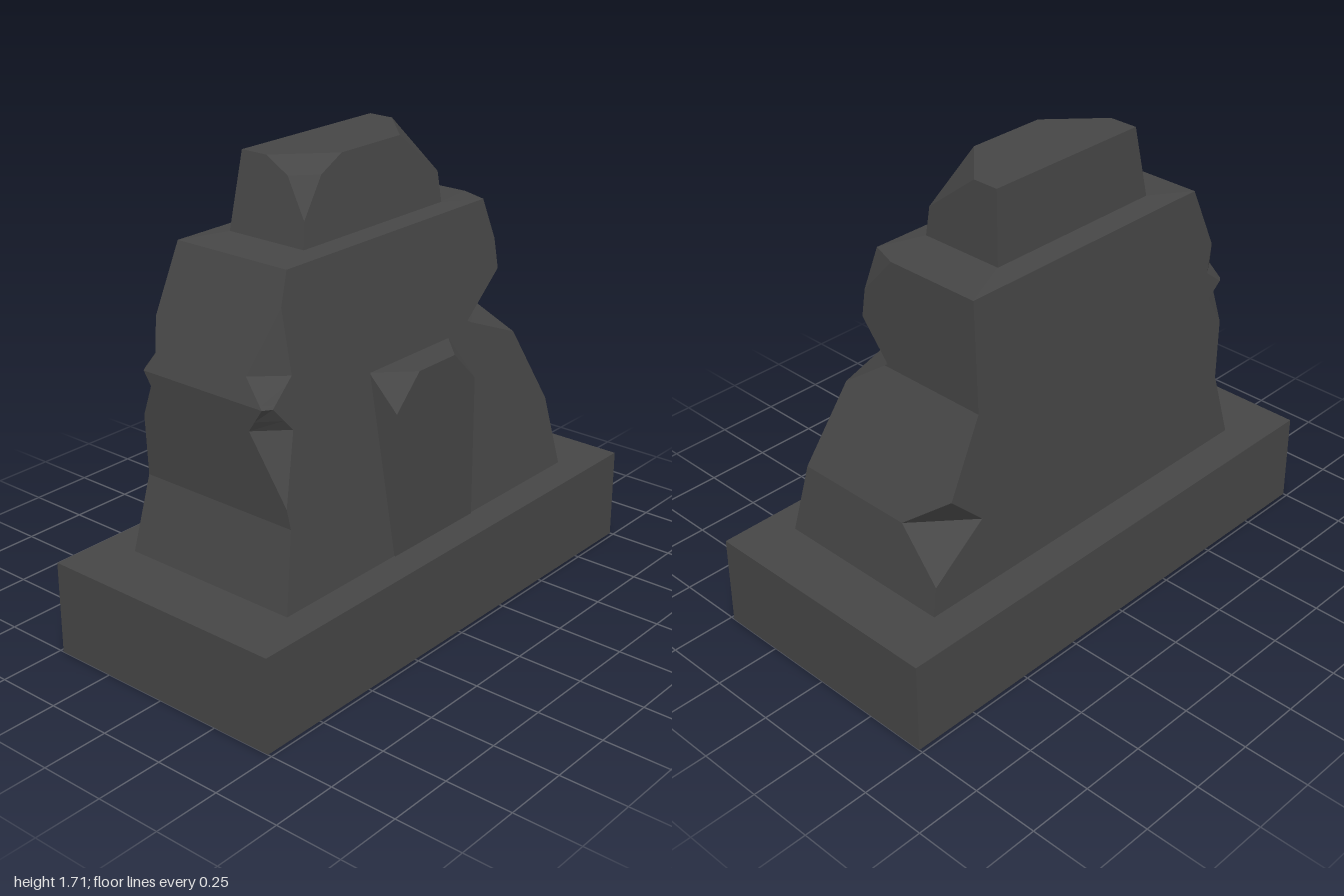
import * as THREE from 'three';

// Piecewise linear lookup in rows of [y, ...values], clamped at both ends
function sample(rows, y) {
  if (y <= rows[0][0]) return rows[0].slice(1);
  for (let i = 1; i < rows.length; i++) {
    const a = rows[i - 1], b = rows[i];
    if (y <= b[0]) {
      const t = (y - a[0]) / (b[0] - a[0]);
      return a.slice(1).map((v, k) => v + (b[k + 1] - v) * t);
    }
  }
  return rows[rows.length - 1].slice(1);
}

// Stacked rectangular sections [y, xMin, xMax, zMin, zMax], with corner chips [y, dx, dz]
function chippedBlock(sections, chips) {
  const none = [[0, 0, 0]];
  const corners = ['frontRight', 'backRight', 'backLeft', 'frontLeft'].map((k) => chips[k] || none);
  const y0 = sections[0][0], y1 = sections[sections.length - 1][0];
  const levels = [...new Set([...sections, ...corners.flat()].map((r) => r[0]))]
    .filter((y) => y >= y0 && y <= y1).sort((a, b) => a - b);

  const rings = levels.map((y) => {
    const [xl, xr, zb, zf] = sample(sections, y);
    const [fr, br, bl, fl] = corners.map((c) => sample(c, y));
    return [
      [xr - fr[0], zf], [xr, zf - fr[1]],
      [xr, zb + br[1]], [xr - br[0], zb],
      [xl + bl[0], zb], [xl, zb + bl[1]],
      [xl, zf - fl[1]], [xl + fl[0], zf],
    ].map(([x, z]) => new THREE.Vector3(x, y, z));
  });

  const pos = [];
  const tri = (a, b, c) => {
    const area = b.clone().sub(a).cross(c.clone().sub(a)).length();
    if (area > 1e-7) for (const p of [a, b, c]) pos.push(p.x, p.y, p.z);
  };
  for (let k = 0; k < rings.length - 1; k++) {
    for (let i = 0; i < 8; i++) {
      const j = (i + 1) % 8;
      tri(rings[k][i], rings[k][j], rings[k + 1][j]);
      tri(rings[k][i], rings[k + 1][j], rings[k + 1][i]);
    }
  }
  // Close the top and bottom
  const top = rings[rings.length - 1], bottom = rings[0];
  const mid = (r) => r.reduce((s, p) => s.add(p), new THREE.Vector3()).divideScalar(8);
  const tc = mid(top), bc = mid(bottom);
  for (let i = 0; i < 8; i++) {
    const j = (i + 1) % 8;
    tri(tc, top[i], top[j]);
    tri(bc, bottom[j], bottom[i]);
  }
  const geo = new THREE.BufferGeometry();
  geo.setAttribute('position', new THREE.Float32BufferAttribute(pos, 3));
  geo.computeVertexNormals();
  return geo;
}

export function createModel() {
  const group = new THREE.Group();
  const stone = new THREE.MeshStandardMaterial({ color: 0x464646, flatShading: true });
  stone.name = 'dark stone';
  const add = (name, geo) => {
    const mesh = new THREE.Mesh(geo, stone);
    mesh.name = name;
    group.add(mesh);
    return mesh;
  };

  // Plinth
  add('plinth', new THREE.BoxGeometry(0.97, 0.35, 2)).position.y = 0.175;

  // Worn main body, with a deep notch in the back right corner
  add('body', chippedBlock([
    [0.35, -0.345, 0.365, -0.785, 0.77],
    [0.62, -0.335, 0.319, -0.745, 0.695],
    [1.02, -0.32, 0.25, -0.54, 0.725],
    [1.43, -0.305, 0.18, -0.54, 0.545],
    [1.44, -0.22, 0.11, -0.345, 0.385],
  ], {
    frontRight: [[0.69, 0, 0], [0.93, 0.1, 0.1], [1.02, 0.02, 0.03], [1.1, 0.105, 0.1], [1.32, 0, 0]],
    backRight: [[0.92, 0, 0], [1.03, 0.14, 0.21], [1.17, 0, 0], [1.28, 0, 0], [1.43, 0.11, 0.04], [1.44, 0, 0]],
    backLeft: [[0.46, 0, 0], [0.62, 0.175, 0.2], [0.75, 0, 0]],
    frontLeft: [[0.85, 0, 0], [0.97, 0.045, 0.08], [1.02, 0.015, 0.02], [1.08, 0.045, 0.07], [1.19, 0, 0]],
  }));

  // Cap block
  add('cap', chippedBlock([
    [1.44, -0.22, 0.11, -0.345, 0.385],
    [1.71, -0.21, 0.07, -0.337, 0.328],
  ], {
    frontRight: [[1.53, 0, 0], [1.66, 0.075, 0.08], [1.71, 0.17, 0.18]],
    backRight: [[1.55, 0, 0], [1.71, 0.18, 0.18]],
  }));

  // Blind doorway slab on the side
  add('doorSlab', chippedBlock([
    [0.35, 0.1, 0.37, -0.215, 0.22],
    [1.0, 0.1, 0.37, -0.215, 0.22],
  ], {
    frontRight: [[0.88, 0, 0], [1.0, 0.12, 0.12]],
    backRight: [[0.88, 0, 0], [1.0, 0.12, 0.12]],
  }));

  return group;
}
